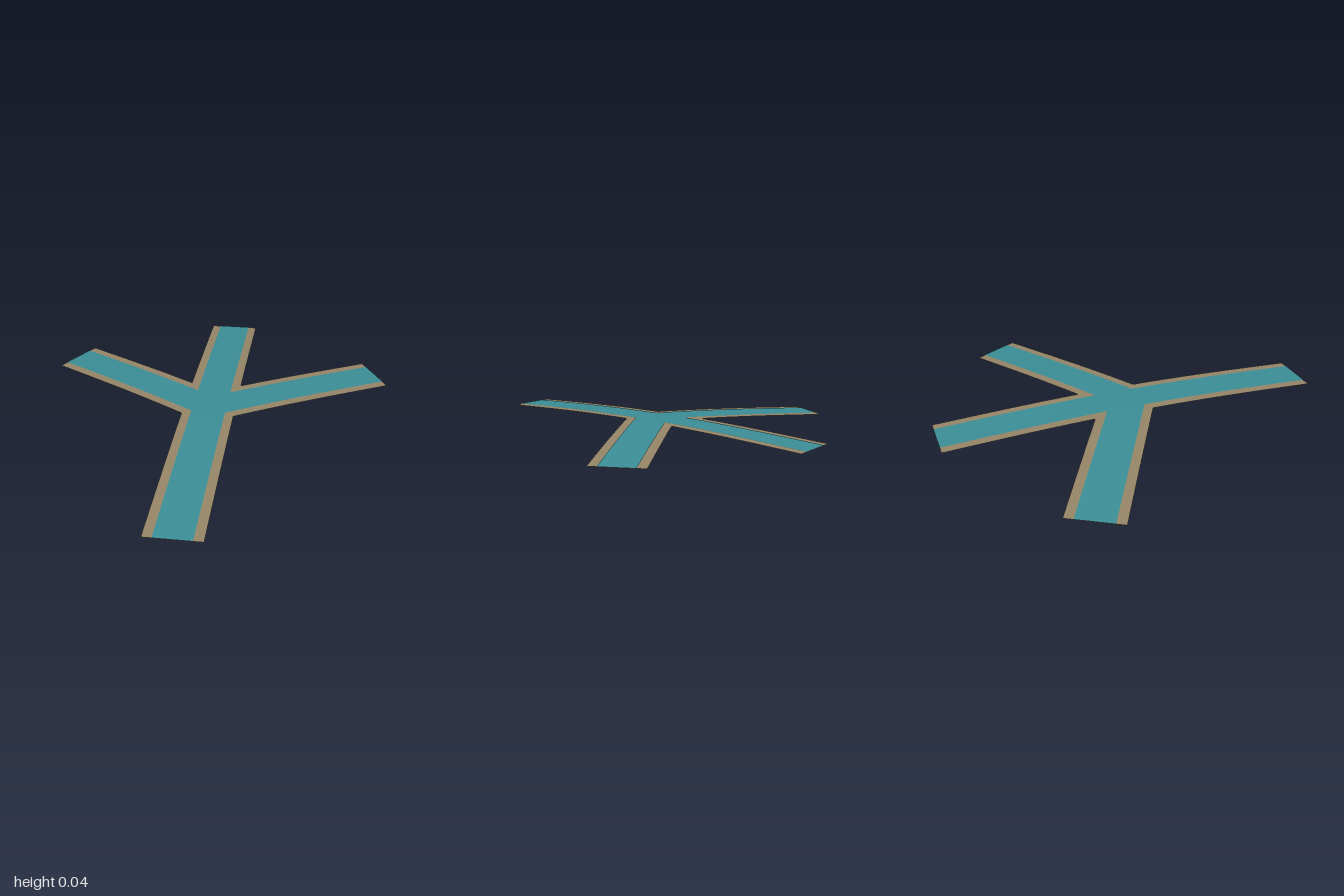
import * as THREE from 'three';
import { mergeVertices } from 'three/addons/utils/BufferGeometryUtils.js';

const HUB_X = -0.205, LENGTH = 1.07, CREST = 0.033, ROWS = 16;
const ANGLES = [0, 60, 120, 240].map(THREE.MathUtils.degToRad);

// One gently arched sheet: four arms that meet along their bisectors at the hub
function junctionSheet(halfWidth, lift) {
  const positions = [], index = [];
  const n = ANGLES.length;
  ANGLES.forEach((angle, a) => {
    const gap = (b) => (b + Math.PI * 2) % (Math.PI * 2);
    const toLeft = gap(ANGLES[(a + 1) % n] - angle);
    const toRight = gap(angle - ANGLES[(a + n - 1) % n]);
    // columns: left edge, centre line, right edge; each starts at its notch
    const columns = [
      { start: halfWidth / Math.tan(toLeft / 2), side: halfWidth },
      { start: 0, side: 0 },
      { start: halfWidth / Math.tan(toRight / 2), side: -halfWidth },
    ];
    const base = positions.length / 3;
    for (let i = 0; i <= ROWS; i++) {
      for (const { start, side } of columns) {
        const s = THREE.MathUtils.lerp(start, LENGTH, i / ROWS);
        positions.push(
          HUB_X + Math.cos(angle) * s - Math.sin(angle) * side,
          CREST * Math.cos((s / LENGTH) * Math.PI / 2) + lift,
          -Math.sin(angle) * s - Math.cos(angle) * side,
        );
      }
    }
    for (let i = 0; i < ROWS; i++) {
      for (let c = 0; c < 2; c++) {
        const l = base + i * 3 + c, r = l + 1;
        index.push(r, r + 3, l + 3, r, l + 3, l);
      }
    }
  });
  let geometry = new THREE.BufferGeometry();
  geometry.setAttribute('position', new THREE.Float32BufferAttribute(positions, 3));
  geometry.setIndex(index);
  geometry = mergeVertices(geometry, 1e-4);
  geometry.computeVertexNormals();
  return geometry;
}

export function createModel() {
  const group = new THREE.Group();
  group.name = 'fourArmJunction';

  const verge = new THREE.MeshStandardMaterial({ color: 0x978769, side: THREE.DoubleSide });
  verge.name = 'sandy brown';
  const surface = new THREE.MeshStandardMaterial({ color: 0x3c8f98 });
  surface.name = 'teal';

  // Wide base sheet, visible as borders and underside
  const base = new THREE.Mesh(junctionSheet(0.145, 0), verge);
  base.name = 'borderSheet';
  // Narrower strip lying on top
  const strip = new THREE.Mesh(junctionSheet(0.095, 0.002), surface);
  strip.name = 'centreStrip';

  group.add(base, strip);
  return group;
}
